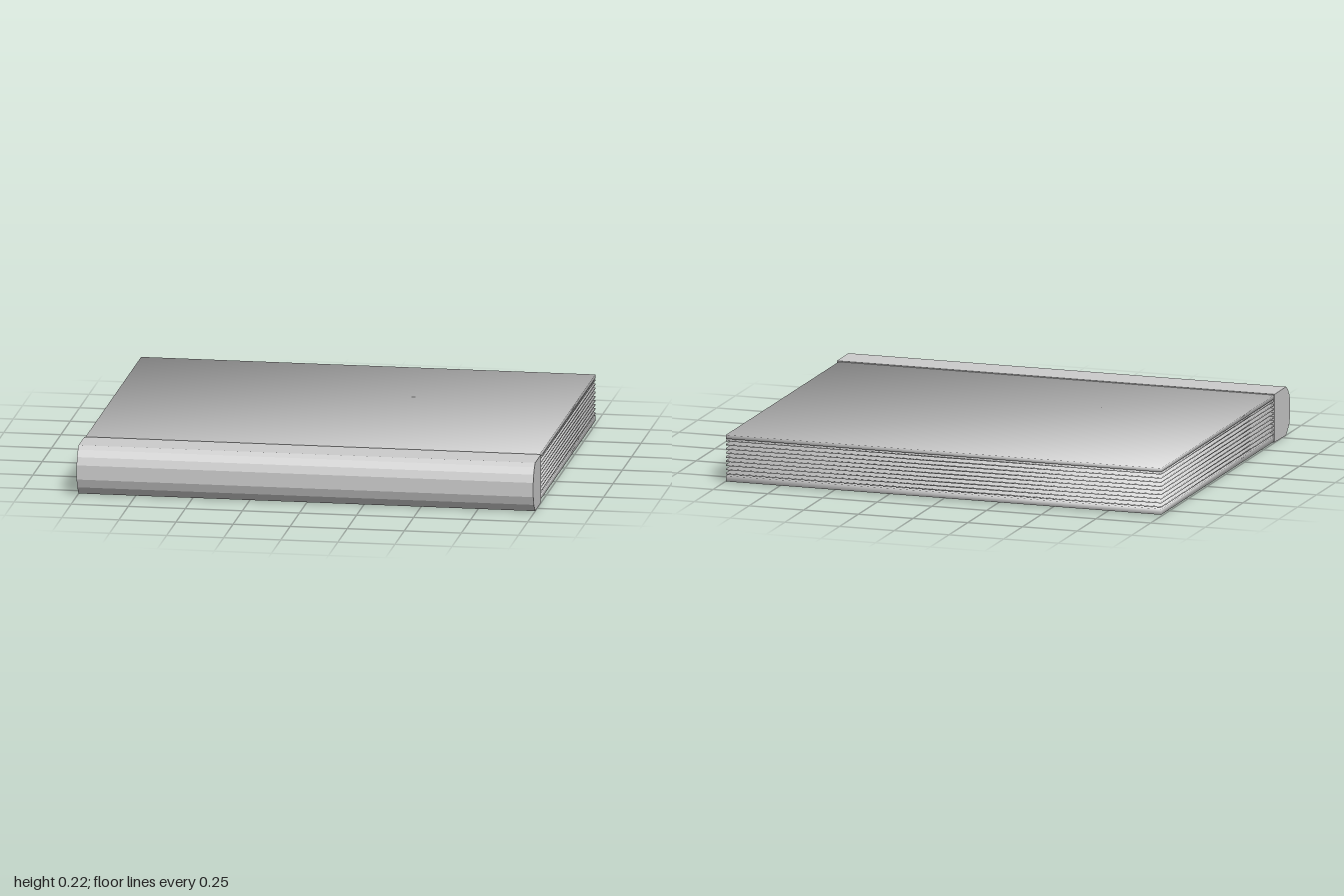
import * as THREE from 'three';
import { mergeVertices } from 'three/addons/utils/BufferGeometryUtils.js';

const BACK = -0.855, JOINT = 0.645;

// thin slab with one shared, outward-leaning normal per corner
function sheet(name, y0, y1, material) {
  const w = 1.99, h = y1 - y0, d = JOINT - BACK;
  let geo = new THREE.BoxGeometry(w, h, d);
  geo.deleteAttribute('normal');
  geo.deleteAttribute('uv');
  geo = mergeVertices(geo);
  const p = geo.attributes.position, n = [], v = new THREE.Vector3();
  for (let i = 0; i < p.count; i++) {
    v.set(Math.sign(p.getX(i)), Math.sign(p.getY(i)), Math.sign(p.getZ(i))).normalize();
    n.push(v.x, v.y, v.z);
  }
  geo.setAttribute('normal', new THREE.Float32BufferAttribute(n, 3));
  const mesh = new THREE.Mesh(geo, material);
  mesh.name = name;
  mesh.position.set(-0.003, (y0 + y1) / 2, (BACK + JOINT) / 2);
  return mesh;
}

export function createModel() {
  const book = new THREE.Group();
  book.name = 'book';
  const smooth = new THREE.MeshStandardMaterial({ color: 0xcccccc });
  const flat = new THREE.MeshStandardMaterial({ color: 0xcccccc, flatShading: true });

  // faceted spine: profile of (z, y) extruded along x
  const profile = [
    [0.645, 0.002], [0.8, 0], [0.84, 0.037], [0.855, 0.075], [0.855, 0.138],
    [0.843, 0.172], [0.822, 0.2], [0.8, 0.215], [0.645, 0.215],
  ];
  const shape = new THREE.Shape(profile.map(([z, y]) => new THREE.Vector2(-z, y)));
  const spineGeo = new THREE.ExtrudeGeometry(shape, { depth: 2, bevelEnabled: false });
  spineGeo.translate(0, 0, -1).rotateY(Math.PI / 2);
  const spine = new THREE.Mesh(spineGeo, flat);
  spine.name = 'spine';
  book.add(spine);

  // covers
  book.add(sheet('topCover', 0.194, 0.211, smooth));
  book.add(sheet('bottomCover', 0.005, 0.03, smooth));

  // separate leaves with air between them
  const pages = new THREE.Group();
  pages.name = 'pages';
  for (let i = 0; i < 9; i++) {
    const y = 0.04 + i * 0.01825;
    pages.add(sheet('page', y - 0.003, y + 0.003, smooth));
  }
  book.add(pages);
  return book;
}
